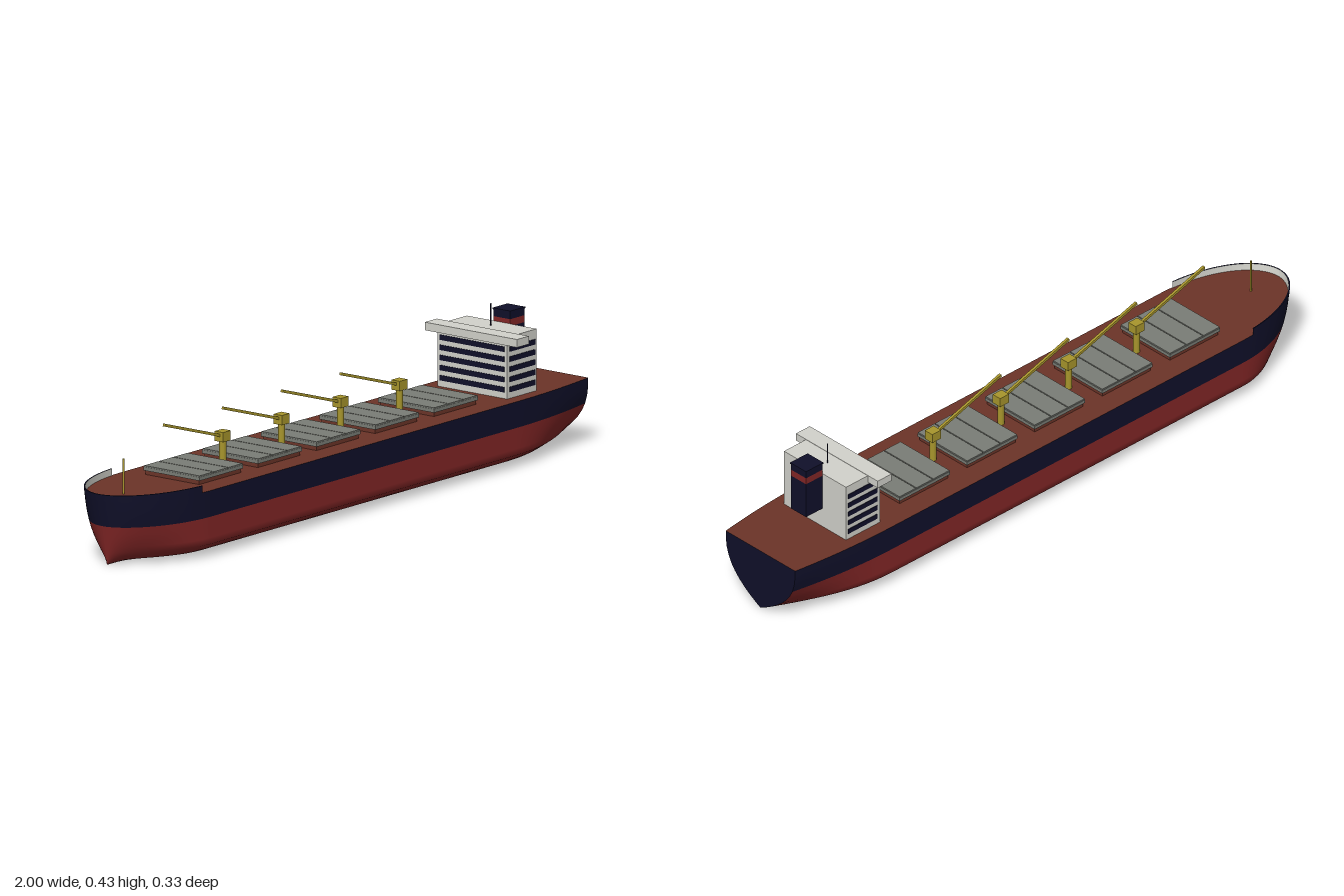
import * as THREE from 'three';

const paint = (name, color) => {
  const m = new THREE.MeshStandardMaterial({ color });
  m.name = name;
  return m;
};
const navy = paint('navy', 0x10102a);
const red = paint('hull red', 0x832626);
const brown = paint('deck brown', 0x6c3428);
const white = paint('off white', 0xd2d2cb);
const grey = paint('hatch grey', 0x7a7d76);
const yellow = paint('crane yellow', 0xa8962c);

const DECK = 0.19, WATER = 0.115, RAIL = 0.21, BEAM = 0.165;

// Surface over a grid of points; faces dj x di
function patch(grid) {
  const n = grid[0].length, index = [];
  for (let i = 0; i < grid.length - 1; i++) {
    for (let j = 0; j < n - 1; j++) {
      const a = i * n + j, b = a + n;
      index.push(a, a + 1, b, a + 1, b + 1, b);
    }
  }
  const g = new THREE.BufferGeometry();
  g.setAttribute('position', new THREE.Float32BufferAttribute(grid.flat(2), 3));
  g.setIndex(index);
  g.computeVertexNormals();
  return g;
}

// Hull cross-sections: boxy amidships, V-shaped at both ends
function midFullness(y) {
  if (y < 0.013) return 0.776 * y / 0.013;
  return Math.min(1, 0.776 + 0.224 * (y - 0.013) / 0.024);
}
const endFullness = y => 1 - Math.pow(1 - Math.min(1, y / DECK), 2.7);

function hullPoint({ u = 0, v = 0, x = 0 }, [side, y, inset = 0]) {
  const width = BEAM * Math.sqrt(Math.max(0, 1 - u * u)) - 0.025 * v * v;
  const blend = u > 0 ? u * u : v * v;
  const z = width * THREE.MathUtils.lerp(midFullness(y), endFullness(y), blend);
  const px = u > 0 ? -0.7 - u * (0.26 + 0.04 * y / RAIL) + inset * u : x;
  return [px, y, side * Math.max(0, z - inset)];
}

// Stations from the stem to the transom
const bowStations = (endAngle, n) => Array.from({ length: n + 1 },
  (_, i) => ({ u: Math.cos(endAngle * i / n) }));
const stations = bowStations(Math.PI / 2, 24).slice(0, -1);
for (let i = 0; i <= 4; i++) stations.push({ x: -0.7 + 1.35 * i / 4 });
for (let i = 1; i <= 12; i++) stations.push({ v: i / 12, x: 0.65 + 0.35 * i / 12 });

const loft = (list, ring) => patch(list.map(s => ring.map(r => hullPoint(s, r))));

export function createModel() {
  const ship = new THREE.Group();
  ship.name = 'cargoShip';

  const add = (name, geo, mat, x = 0, y = 0, z = 0, parent = ship) => {
    const m = new THREE.Mesh(geo, mat);
    m.name = name;
    m.position.set(x, y, z);
    parent.add(m);
    return m;
  };
  // Box given by its extents
  const box = (name, mat, x0, x1, y0, y1, z0, z1, parent) =>
    add(name, new THREE.BoxGeometry(x1 - x0, y1 - y0, z1 - z0), mat,
      (x0 + x1) / 2, (y0 + y1) / 2, (z0 + z1) / 2, parent);
  const rod = (name, mat, r, x, y0, y1, parent) =>
    add(name, new THREE.CylinderGeometry(r, r, y1 - y0, 10), mat, x, (y0 + y1) / 2, 0, parent);

  // Hull
  const low = [0, 0.006, 0.013, 0.025, 0.037, 0.055, 0.075, 0.095, WATER];
  add('lowerHull', loft(stations, [
    ...low.slice(1).reverse().map(y => [1, y]), ...low.map(y => [-1, y]),
  ]), red);
  const high = [WATER, 0.14, 0.165, DECK];
  add('upperHullLeft', loft(stations, [...high].reverse().map(y => [1, y])), navy);
  add('upperHullRight', loft(stations, high.map(y => [-1, y])), navy);
  add('deck', loft(stations, [[-1, DECK], [1, DECK]]), brown);
  const stern = stations[stations.length - 1];
  add('transom', patch([...low, ...high.slice(1)].map(
    y => [hullPoint(stern, [1, y]), hullPoint(stern, [-1, y])])), navy);

  // Raised bulwark around the bow: dark outside, pale inside
  const bow = bowStations(Math.acos(0.133), 24), t = 0.003;
  for (const side of [1, -1]) {
    const order = ring => (side > 0 ? ring : ring.reverse());
    add('bulwarkOuter', loft(bow, order([[side, RAIL], [side, DECK]])), navy);
    add('bulwarkRim', loft(bow, order([[side, RAIL, t], [side, RAIL]])), navy);
    add('bulwarkInner', loft(bow, order([[side, DECK, t], [side, RAIL, t]])), white);
  }
  rod('foremast', yellow, 0.003, -0.887, DECK, 0.29);

  // Cargo hatches with three-panel covers
  for (let i = 0; i < 5; i++) {
    const hatch = new THREE.Group();
    hatch.name = 'hatch';
    hatch.position.x = -0.577 + 0.26 * i;
    ship.add(hatch);
    box('coaming', brown, -0.093, 0.093, DECK, 0.203, -0.096, 0.096, hatch);
    box('coverBase', grey, -0.097, 0.097, 0.202, 0.212, -0.1, 0.1, hatch);
    for (let k = -1; k <= 1; k++) {
      box('coverPanel', grey, k * 0.065 - 0.031, k * 0.065 + 0.031, 0.211, 0.216, -0.099, 0.099, hatch);
    }
  }

  // Deck cranes with booms reaching forward
  for (let i = 0; i < 4; i++) {
    const crane = new THREE.Group();
    crane.name = 'crane';
    crane.position.x = -0.447 + 0.261 * i;
    ship.add(crane);
    rod('cranePost', yellow, 0.01, 0, DECK, 0.265, crane);
    box('craneHead', yellow, -0.017, 0.017, 0.26, 0.288, -0.015, 0.015, crane);
    const dx = -0.26, dy = 0.08;
    const boom = add('craneBoom', new THREE.BoxGeometry(Math.hypot(dx, dy), 0.008, 0.008), yellow,
      dx / 2, 0.273 + dy / 2, 0, crane);
    boom.rotation.z = Math.atan2(dy, dx);
  }

  // Accommodation block with window strips on the sides and forward face
  const house = new THREE.Group();
  house.name = 'superstructure';
  ship.add(house);
  box('accommodation', white, 0.659, 0.79, DECK, 0.367, -0.125, 0.125, house);
  box('bridgeWings', white, 0.653, 0.706, 0.345, 0.368, -BEAM, BEAM, house);
  for (let i = 0; i < 5; i++) {
    const y = 0.208 + 0.029 * i;
    for (const s of [1, -1]) {
      box('sideWindows', navy, 0.67, 0.782, y, y + 0.015, s * 0.1255 - 0.0015, s * 0.1255 + 0.0015, house);
    }
    box('frontWindows', navy, 0.657, 0.66, y, y + 0.015, -0.115, 0.115, house);
  }
  rod('radarMast', navy, 0.002, 0.742, 0.365, 0.43, house);

  // Funnel behind the block
  const funnel = new THREE.Group();
  funnel.name = 'funnel';
  ship.add(funnel);
  box('funnelBase', navy, 0.79, 0.853, 0.25, 0.36, -0.03, 0.03, funnel);
  box('funnelBand', red, 0.79, 0.853, 0.36, 0.38, -0.03, 0.03, funnel);
  box('funnelTop', navy, 0.79, 0.853, 0.38, 0.4, -0.03, 0.03, funnel);
  box('funnelCap', navy, 0.788, 0.855, 0.4, 0.404, -0.032, 0.032, funnel);

  return ship;
}
